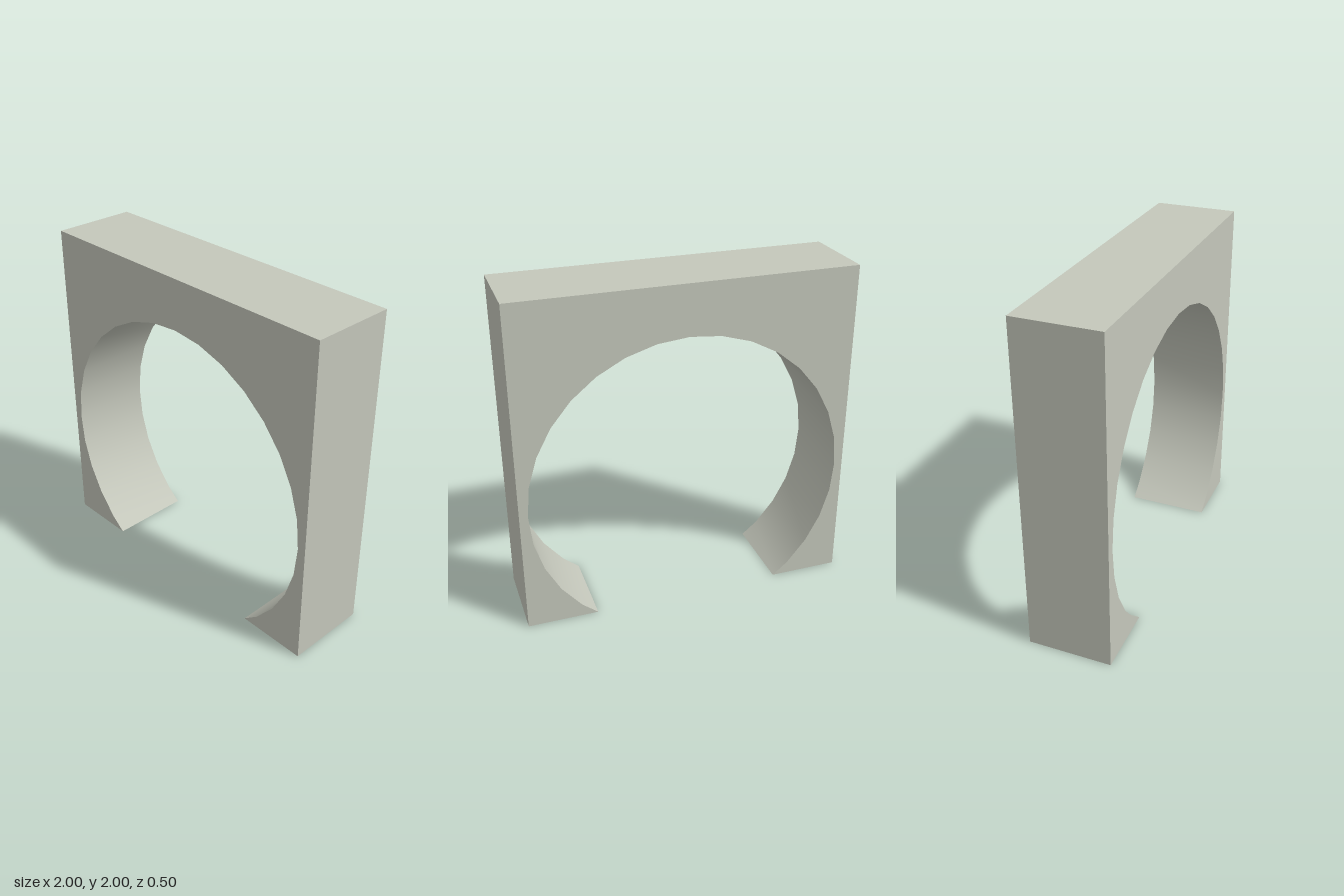
import * as THREE from 'three';

const DEPTH = 0.5, RADIUS = 0.95, CENTER_Y = 0.75, SIDES = 32;

// Opening outline, clockwise from the -x foot to the +x foot, trimmed at the ground
function openingOutline() {
  const step = (Math.PI * 2) / SIDES;
  const at = (i) => new THREE.Vector2(Math.sin(i * step) * RADIUS, CENTER_Y + Math.cos(i * step) * RADIUS);
  const last = 12;
  const inside = at(last), below = at(last + 1);
  const foot = inside.clone().lerp(below, inside.y / (inside.y - below.y)).x;
  const points = [new THREE.Vector2(-foot, 0)];
  for (let i = -last; i <= last; i++) points.push(at(i));
  points.push(new THREE.Vector2(foot, 0));
  return points;
}

// Wall that follows an outline and spans the full depth
function wallGeometry(points) {
  const n = points.length;
  const geometry = new THREE.PlaneGeometry(1, DEPTH, n - 1, 1);
  const pos = geometry.attributes.position;
  for (let i = 0; i < pos.count; i++) {
    const p = points[i % n];
    pos.setXYZ(i, p.x, p.y, pos.getY(i));
  }
  geometry.computeVertexNormals();
  return geometry;
}

export function createModel() {
  const group = new THREE.Group();
  group.name = 'archBlock';
  const stone = new THREE.MeshStandardMaterial({ color: 0xc4c7bb, side: THREE.DoubleSide });
  stone.name = 'paleStone';

  const add = (name, geometry) => {
    const mesh = new THREE.Mesh(geometry, stone);
    mesh.name = name;
    group.add(mesh);
    return mesh;
  };

  const opening = openingOutline();
  const corners = [[1, 0], [1, 2], [-1, 2], [-1, 0]].map(([x, y]) => new THREE.Vector2(x, y));

  // Front and back faces with the round opening cut out
  const face = new THREE.ShapeGeometry(new THREE.Shape([...corners, ...opening]));
  add('frontFace', face).position.z = DEPTH / 2;
  const back = add('backFace', face);
  back.position.z = -DEPTH / 2;
  back.rotation.y = Math.PI;

  // Outer walls; the feet stay open underneath
  ['leftWall', 'topWall', 'rightWall'].forEach((name, i) => {
    add(name, wallGeometry([corners[i], corners[i + 1]]));
  });

  // Smooth inner wall of the opening
  add('archInnerWall', wallGeometry(opening));

  return group;
}
